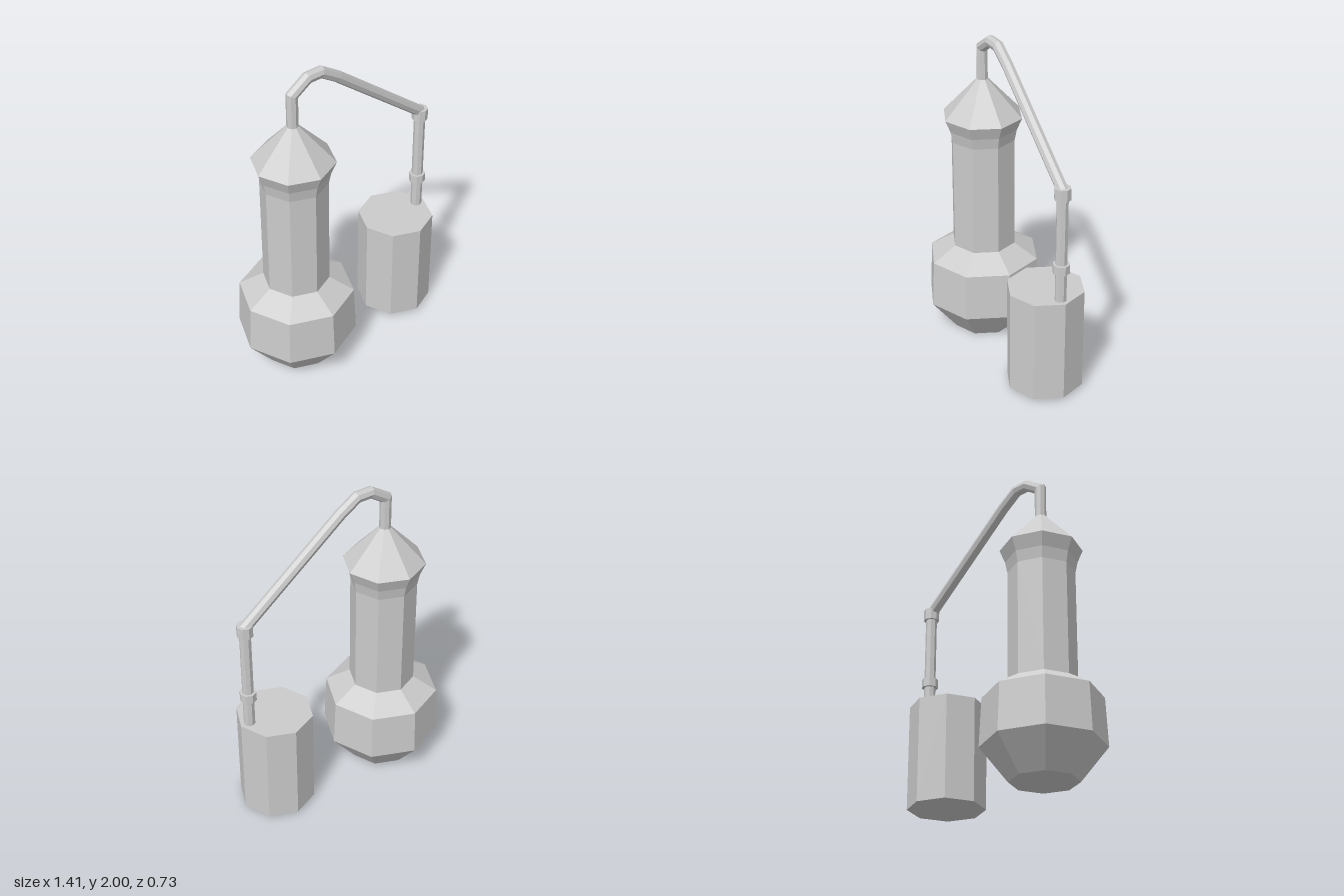
import * as THREE from 'three';

const SIDES = 8;
const metal = new THREE.MeshStandardMaterial({ color: 0xcccccc, flatShading: true });

function part(name, geometry, x = 0, y = 0) {
  const mesh = new THREE.Mesh(geometry, metal);
  mesh.name = name;
  mesh.position.set(x, y, 0);
  return mesh;
}

// Octagonal cylinder standing between two heights
function prism(name, x, y0, y1, r) {
  return part(name, new THREE.CylinderGeometry(r, r, y1 - y0, SIDES), x, (y0 + y1) / 2);
}

// Pipe with mitred corners along a path in the xy plane
function mitredPipe(path, r) {
  const pts = path.map(([x, y]) => new THREE.Vector2(x, y));
  const last = pts.length - 1;
  const direction = (i) => pts[i + 1].clone().sub(pts[i]).normalize();
  const positions = [];
  const indices = [];
  pts.forEach((p, i) => {
    const before = direction(Math.max(i - 1, 0));
    const after = direction(Math.min(i, last - 1));
    const t = before.clone().add(after).normalize();
    const stretch = r / t.dot(after);
    for (let j = 0; j < SIDES; j++) {
      const a = (j / SIDES) * Math.PI * 2;
      const n = Math.cos(a) * stretch;
      positions.push(p.x - t.y * n, p.y + t.x * n, Math.sin(a) * r);
      if (i === last) continue;
      const a0 = i * SIDES + j;
      const a1 = i * SIDES + (j + 1) % SIDES;
      indices.push(a0, a1, a1 + SIDES, a0, a1 + SIDES, a0 + SIDES);
    }
  });
  const geometry = new THREE.BufferGeometry();
  geometry.setAttribute('position', new THREE.Float32BufferAttribute(positions, 3));
  geometry.setIndex(indices);
  geometry.computeVertexNormals();
  return geometry;
}

export function createModel() {
  const model = new THREE.Group();
  model.name = 'still';

  // Boiler: bulging pot, tall column and flared conical cap
  const profile = [
    [0, 0], [0.203, 0], [0.367, 0.207], [0.353, 0.505], [0.203, 0.597],
    [0.203, 1.31], [0.217, 1.38], [0.25, 1.46], [0.033, 1.695], [0, 1.695],
  ].map(([r, y]) => new THREE.Vector2(r, y));
  model.add(part('boiler', new THREE.LatheGeometry(profile, SIDES), -0.338));

  // Pipe rising from the cap, arching over and dropping into the barrel
  model.add(part('pipe', mitredPipe([
    [-0.338, 1.66], [-0.338, 1.893], [-0.228, 1.965], [-0.132, 1.965],
    [-0.015, 1.89], [0.641, 1.378], [0.641, 0.65],
  ], 0.035)));

  // Pipe collars
  model.add(prism('upperCollar', 0.641, 1.325, 1.398, 0.049));
  model.add(prism('lowerCollar', 0.641, 0.856, 0.912, 0.051));

  // Collecting barrel
  model.add(prism('barrel', 0.465, 0.02, 0.672, 0.236));

  return model;
}
